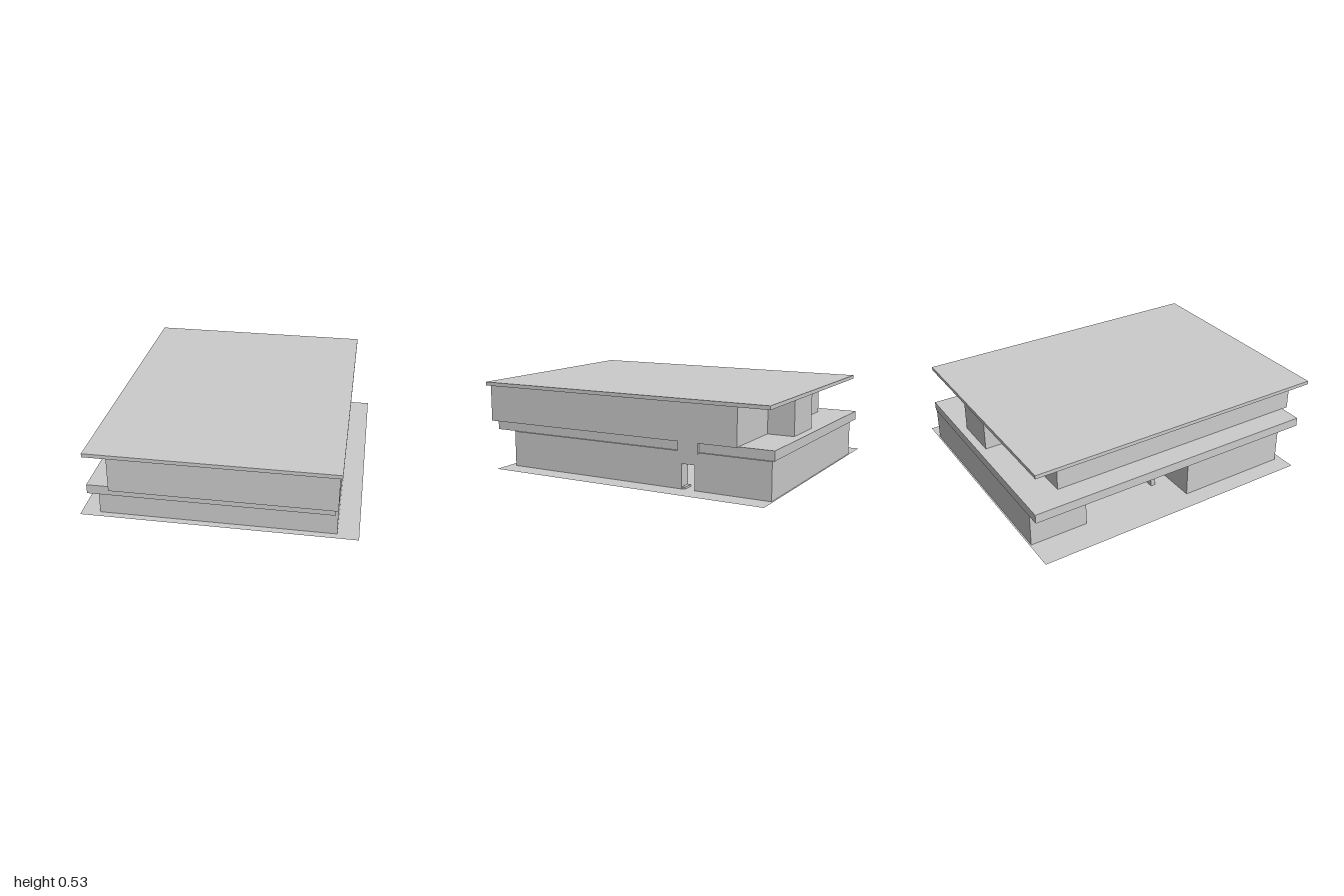
import * as THREE from 'three';

const material = new THREE.MeshStandardMaterial({ color: 0xcccccc, flatShading: true });
const thin = new THREE.MeshStandardMaterial({ color: 0xcccccc, side: THREE.DoubleSide });

// Box given by its extents along x, y and z
function block(parent, name, [x0, x1], [y0, y1], [z0, z1]) {
  const mesh = new THREE.Mesh(new THREE.BoxGeometry(x1 - x0, y1 - y0, z1 - z0), material);
  mesh.position.set((x0 + x1) / 2, (y0 + y1) / 2, (z0 + z1) / 2);
  mesh.name = name;
  parent.add(mesh);
}

function storey(parent, name) {
  const group = new THREE.Group();
  group.name = name;
  parent.add(group);
  return group;
}

export function createModel() {
  const house = new THREE.Group();
  house.name = 'house';

  // Plot of land
  const ground = new THREE.Mesh(new THREE.PlaneGeometry(1.7, 1.83), thin);
  ground.rotation.x = -Math.PI / 2;
  ground.position.z = -0.085;
  ground.name = 'ground';
  house.add(ground);

  // Ground floor: two wings with a covered patio between them, open on the -x side
  const lower = storey(house, 'groundFloor');
  const wallTop = 0.225;
  block(lower, 'frontWing', [-0.735, 0.72], [0, wallTop], [0.06, 0.785]);
  block(lower, 'backWing', [-0.655, 0.72], [0, wallTop], [-0.99, -0.62]);
  block(lower, 'patioWall', [-0.546, 0.64], [0, wallTop], [-0.08, -0.05]);

  // Side wall with the doorway
  const side = [0.64, 0.72];
  block(lower, 'sideWallFront', side, [0, wallTop], [-0.43, 0.06]);
  block(lower, 'sideWallBack', side, [0, wallTop], [-0.62, -0.515]);
  block(lower, 'doorLintel', side, [0.15, wallTop], [-0.515, -0.43]);
  block(lower, 'doorStep', [0.64, 0.715], [0, 0.012], [-0.45, -0.43]);

  // Terrace slab, with a piece of wall joining the storeys above the door
  block(house, 'terraceSlab', [-0.753, 0.708], [wallTop, 0.283], [-1, 0.93]);
  block(house, 'wallAboveDoor', [0.64, 0.722], [0.215, 0.285], [-0.535, -0.405]);

  // Upper floor with a bay at the back
  const upper = storey(house, 'upperFloor');
  block(upper, 'upperWalls', [-0.608, 0.724], [0.28, 0.51], [-0.78, 0.97]);
  block(upper, 'backBay', [0, 0.29], [0.28, 0.51], [-0.95, -0.78]);

  // Flat overhanging roof
  block(house, 'roof', [-0.74, 0.737], [0.51, 0.533], [-0.98, 1]);

  return house;
}
